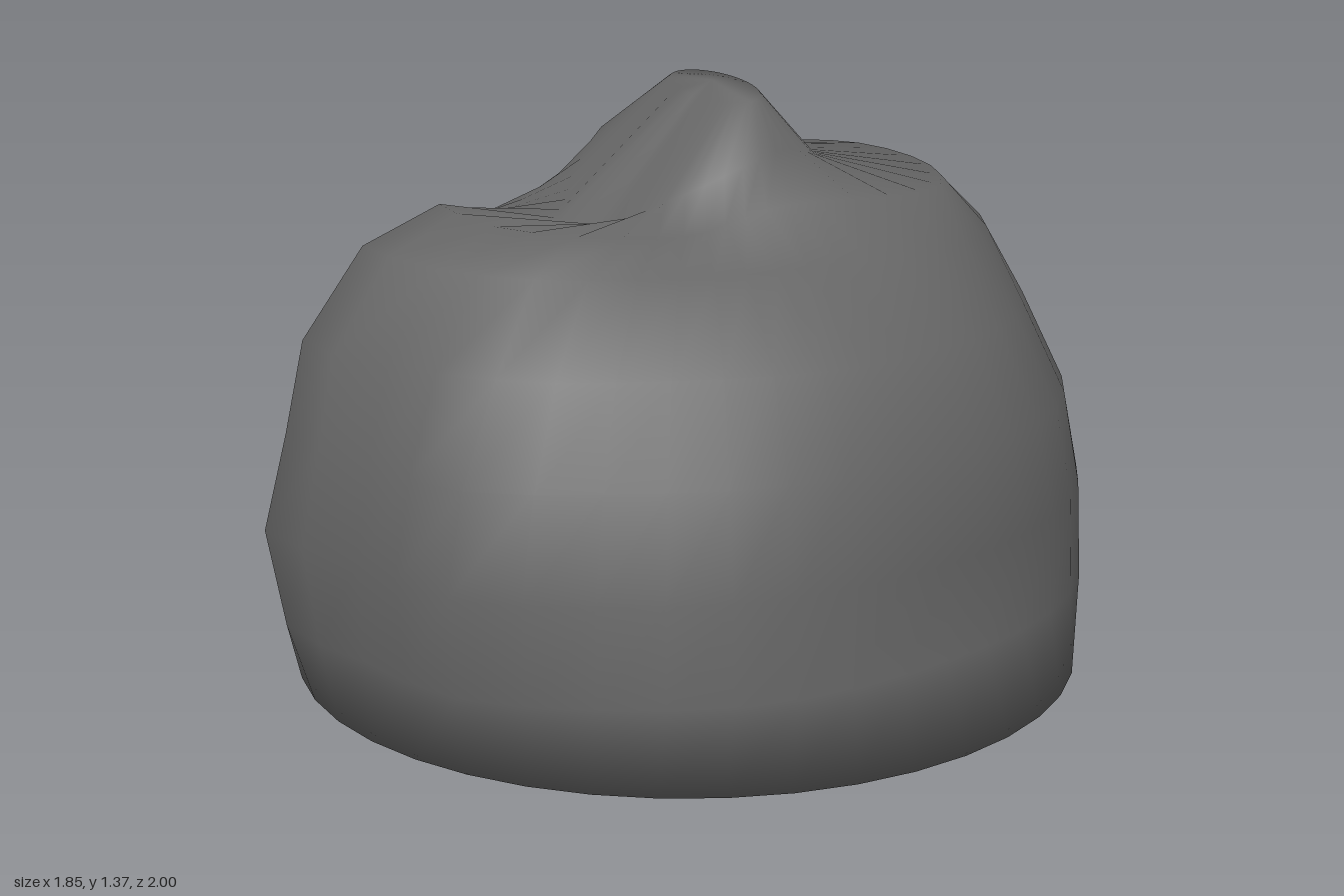
import * as THREE from 'three';

const SIDES = 40;
const STEP = SIDES / 8;

// Eight values, from the front (+z) turning towards +x, as a smooth closed curve
function around(values, k) {
  const at = (i) => values[(i + 8) % 8];
  const i = Math.floor(k / STEP);
  const t = k / STEP - i;
  const [a, b, c, d] = [at(i - 1), at(i), at(i + 1), at(i + 2)];
  return b + 0.5 * t * (c - a + t * (2 * a - 5 * b + 4 * c - d + t * (3 * (b - c) + d - a)));
}

// Pointed bump, 1 at the given angle and 0 beyond 22 degrees from it
function bump(k, degrees) {
  const turn = (k * 360) / SIDES - degrees;
  return Math.max(0, 1 - Math.abs(turn) / 22);
}

// One cross-section; knob pushes out the front corner on -x, rise lifts it,
// corner pushes out the smaller front corner on +x
function section(radii, heights, { knob = 0, rise = 0, corner = 0 } = {}) {
  return Array.from({ length: SIDES }, (_, k) => {
    const a = (k / SIDES) * Math.PI * 2;
    const r = around(radii, k) + knob * bump(k, 342) + corner * bump(k, 18);
    const y = around(heights, k) + rise * bump(k, 342);
    return new THREE.Vector3(r * Math.sin(a), y, r * Math.cos(a));
  });
}

const level = (v) => Array(8).fill(v);

function rockSections() {
  // Round footprint
  const foot = section(level(0.925), level(0));
  foot.forEach((p) => { p.z += 0.02; });

  // Walls, undercut on the -x side
  const walls = [
    section([.95, .92, .84, .92, 1.0, .96, .89, .92], level(.19), { knob: .06, corner: .04 }),
    section([.96, .91, .85, .91, .98, .95, .87, .88], level(.42), { knob: .11, corner: .06 }),
    section([.92, .83, .80, .87, .92, .88, .70, .78], level(.64), { knob: .11, corner: .05 }),
    section([.87, .71, .70, .77, .81, .77, .70, .71], level(.85), { knob: .12 }),
    section([.74, .51, .48, .67, .72, .67, .47, .64],
      [1.04, 1.02, 1.02, 1.01, 1.02, 1.0, 1.02, .99], { knob: .07, rise: .03 }),
  ];

  // Front knob and back ledge, then the hollow at the foot of the peak
  const ledge = section(
    [.58, .32, .33, .57, .54, .48, .36, .43],
    [1.11, 1.07, 1.13, 1.13, 1.15, 1.12, 1.14, 1.06], { knob: .07, rise: .04 });
  const hollow = section(
    level(.28),
    [1.07, 1.16, 1.24, 1.20, 1.18, 1.20, 1.24, 1.11], { knob: .05 });

  // Narrow summit ridge, highest at its back on the -x side
  const summit = section(level(1), level(0));
  summit.forEach((p) => {
    p.x = 0.035 + 0.14 * p.x;
    p.z = -0.035 + 0.065 * p.z;
    p.y = 1.35 - 0.1 * p.x - 0.2 * p.z;
  });

  return [foot, ...walls, ledge, hollow, summit];
}

function rockGeometry() {
  const sections = rockSections();
  const points = sections.flat();
  const index = [];
  // Skin between neighbouring sections
  for (let s = 0; s < sections.length - 1; s++) {
    for (let k = 0; k < SIDES; k++) {
      const a = s * SIDES + k;
      const b = s * SIDES + ((k + 1) % SIDES);
      index.push(a, b, b + SIDES, a, b + SIDES, a + SIDES);
    }
  }
  // Underside and summit fans
  const last = points.length - SIDES;
  const bottom = points.length;
  const top = bottom + 1;
  points.push(new THREE.Vector3(0, 0, 0), new THREE.Vector3(0.02, 1.365, -0.04));
  for (let k = 0; k < SIDES; k++) {
    const n = (k + 1) % SIDES;
    index.push(bottom, n, k, top, last + k, last + n);
  }
  const geometry = new THREE.BufferGeometry().setFromPoints(points);
  geometry.setIndex(index);
  geometry.computeVertexNormals();
  return geometry;
}

export function createModel() {
  const group = new THREE.Group();
  group.name = 'boulder';
  const rock = new THREE.Mesh(rockGeometry(), new THREE.MeshStandardMaterial({ color: 0x656565 }));
  rock.name = 'rock';
  group.add(rock);
  return group;
}
